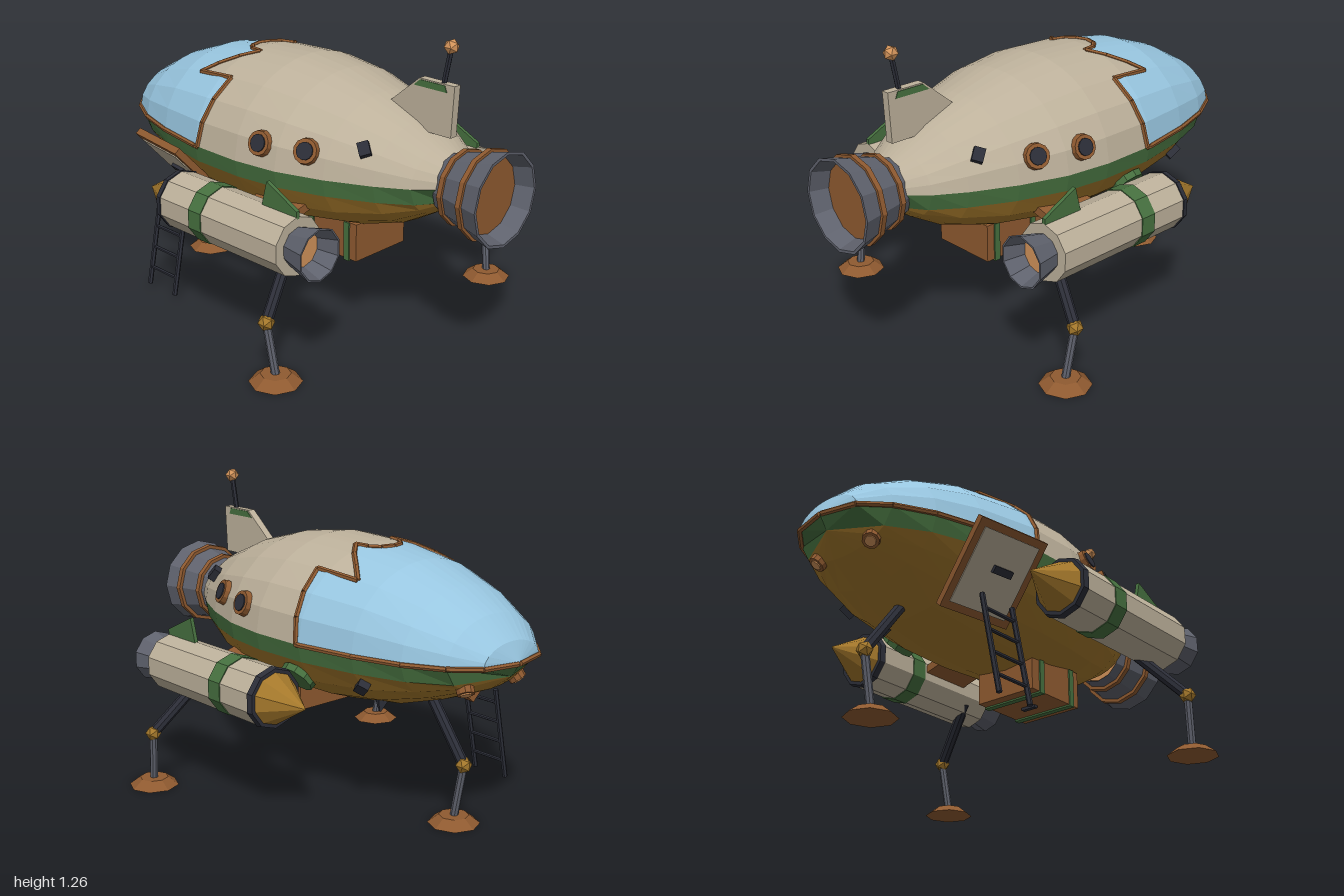
import * as THREE from 'three';

const V = (x, y, z) => new THREE.Vector3(x, y, z);
const D = Math.PI / 180;
const mat = (name, color, side = THREE.FrontSide) => {
  const m = new THREE.MeshStandardMaterial({ color, flatShading: true, side });
  m.name = name;
  return m;
};

// Hull stations: z, half width, top y, bottom y
const WAIST = 0.72;
const STATIONS = [
  [-0.98, 0.005, 0.725, 0.715], [-0.945, 0.155, 0.8, 0.665], [-0.85, 0.25, 0.885, 0.595],
  [-0.7, 0.33, 0.965, 0.53], [-0.5, 0.39, 1.035, 0.465], [-0.25, 0.435, 1.072, 0.43],
  [0, 0.44, 1.08, 0.425], [0.2, 0.415, 1.055, 0.43], [0.4, 0.35, 1.0, 0.455],
  [0.58, 0.265, 0.925, 0.51], [0.7, 0.19, 0.855, 0.58], [0.77, 0.125, 0.815, 0.64],
  [0.8, 0.09, 0.8, 0.66], [0.802, 0.001, 0.721, 0.719],
];
// Rear edge of the canopy: angle above the waist in degrees, z
const EDGE = [[0, -0.235], [17, -0.22], [33, -0.205], [50, -0.19], [50, -0.4], [59, -0.34],
  [68, -0.27], [77, -0.21], [78.5, -0.27], [83, -0.31], [90, -0.325]];

function section(z) {
  let i = 0;
  while (i < STATIONS.length - 2 && z > STATIONS[i + 1][0]) i++;
  const a = STATIONS[i], b = STATIONS[i + 1];
  const f = (z - a[0]) / (b[0] - a[0]);
  return [1, 2, 3].map(k => a[k] + (b[k] - a[k]) * f);
}
function hullPoint(z, t) {
  const [w, top, bottom] = section(z), s = Math.sin(t);
  return V(w * Math.cos(t), WAIST + s * (s > 0 ? top - WAIST : WAIST - bottom), z);
}

// Lengthwise strips of hull, each with its mirror; corners are [angle(z), clamp(z)]
function hullGeometry(strips) {
  const out = [];
  const tri = (a, b, c) => {
    const n = b.clone().sub(a).cross(c.clone().sub(a));
    if (n.length() > 1e-7) for (const p of [a, b, c]) out.push(p.x, p.y, p.z);
  };
  const flip = ([t, c]) => [z => Math.PI - t(z), c];
  const all = strips.concat(strips.map(([a, b]) => [flip(b), flip(a)]));
  for (const [a, b] of all) {
    for (let i = 0; i < STATIONS.length - 1; i++) {
      const p = ([t, c], k) => { const z = c(STATIONS[k][0]); return hullPoint(z, t(z)); };
      const a0 = p(a, i), a1 = p(a, i + 1), b0 = p(b, i), b1 = p(b, i + 1);
      tri(a0, b0, b1);
      tri(a0, b1, a1);
    }
  }
  const g = new THREE.BufferGeometry();
  g.setAttribute('position', new THREE.Float32BufferAttribute(out, 3));
  g.computeVertexNormals();
  return g;
}

export function createModel() {
  const root = new THREE.Group();
  const cream = mat('cream paint', 0xbdb19b), green = mat('green paint', 0x46703f, THREE.DoubleSide);
  const gold = mat('bronze', 0xa4782b), blue = mat('canopy blue', 0x98c6e0);
  const copper = mat('copper', 0x8f5a30), dark = mat('dark metal', 0x2c2e38);
  const grey = mat('grey metal', 0x5f626d, THREE.DoubleSide), glow = mat('engine glow', 0xd2935a);

  const add = (name, geo, material, parent = root) => {
    const m = new THREE.Mesh(geo, material);
    m.name = name;
    parent.add(m);
    return m;
  };
  const box = (name, size, pos, material, parent) => {
    const m = add(name, new THREE.BoxGeometry(...size), material, parent);
    m.position.set(...pos);
    return m;
  };
  const strut = (name, a, b, r, material, n = 6, parent = root) => {
    const d = b.clone().sub(a);
    const m = add(name, new THREE.CylinderGeometry(r, r, d.length(), n), material, parent);
    m.position.copy(a).add(b).multiplyScalar(0.5);
    m.quaternion.setFromUnitVectors(V(0, 1, 0), d.normalize());
  };
  // Cylinder along z from z0 (radius r0) to z1 (radius r1)
  const cylZ = (name, r0, r1, z0, z1, n, x, y, material, parent) => {
    const g = new THREE.CylinderGeometry(r1, r0, z1 - z0, n).rotateX(Math.PI / 2);
    add(name, g, material, parent).position.set(x, y, (z0 + z1) / 2);
  };
  const bell = (name, pts, n, x, y, parent) => {
    const g = new THREE.LatheGeometry(pts.map(p => new THREE.Vector2(...p)), n).rotateX(Math.PI / 2);
    add(name, g, grey, parent).position.set(x, y, 0);
  };
  // Group lying on the hull with its +z along the outward normal
  const onHull = (name, z, t) => {
    const g = new THREE.Group(), h = 0.02;
    const dt = hullPoint(z, t + h).sub(hullPoint(z, t - h));
    const dz = hullPoint(z + h, t).sub(hullPoint(z - h, t));
    g.name = name;
    g.position.copy(hullPoint(z, t));
    g.quaternion.setFromUnitVectors(V(0, 0, 1), dt.cross(dz).normalize());
    root.add(g);
    return g;
  };

  // Hull: canopy, upper shell, waist band and belly
  const same = z => z;
  const upper = clamp => EDGE.slice(1).map((e, i) => [EDGE[i], e]).filter(([a, b]) => a[0] !== b[0])
    .map(pair => pair.map(([t, e]) => [() => t * D, z => clamp(z, e)]));
  const low = u => z => {
    const t = -Math.asin(Math.min(1, 0.07 / (WAIST - section(z)[2])));
    return t + (-Math.PI / 2 - t) * u;
  };
  add('canopy', hullGeometry(upper(Math.min)), blue);
  add('upperHull', hullGeometry(upper(Math.max)), cream);
  add('waistBand', hullGeometry([[[low(0), same], [() => 0, same]]]), green);
  const belly = [0, 1, 2, 3].map(i => [[low((i + 1) / 4), same], [low(i / 4), same]]);
  add('belly', hullGeometry(belly), gold);

  // Canopy trim, along the waist and then over the roof
  const path = STATIONS.filter(s => s[0] < -0.24).map(s => [0, s[0]]).concat(EDGE);
  for (const s of [0, 1]) {
    const pts = path.map(([t, z]) => hullPoint(z, s ? Math.PI - t * D : t * D));
    for (let i = 1; i < pts.length; i++) strut('canopyTrim', pts[i - 1], pts[i], 0.011, copper);
  }

  // Portholes, vents and nose lamps on both sides
  for (const s of [0, 1]) {
    const side = deg => (s ? Math.PI - deg * D : deg * D);
    for (const [z, deg] of [[0.32, 19], [0.12, 16]]) {
      const g = onHull('porthole', z, side(deg));
      cylZ('portholeFrame', 0.055, 0.05, -0.015, 0.018, 12, 0, 0, copper, g);
      cylZ('portholeGlass', 0.037, 0.035, 0, 0.023, 12, 0, 0, dark, g);
    }
    const lamp = onHull('noseLamp', -0.85, side(-55));
    cylZ('lampRim', 0.036, 0.034, -0.015, 0.016, 10, 0, 0, copper, lamp);
    cylZ('lampLens', 0.024, 0.022, 0, 0.021, 10, 0, 0, glow, lamp);
    box('rearVent', [0.045, 0.055, 0.04], [0, 0, 0.008], dark, onHull('vent', 0.52, side(33)));
    box('frontVent', [0.06, 0.045, 0.03], [0, 0, 0.008], dark, onHull('vent', -0.51, side(-29)));
  }
  cylZ('sideCover', 0.075, 0.072, -0.01, 0.018, 10, 0, 0, green, onHull('serviceCover', -0.18, -31 * D));
  cylZ('bellySensor', 0.03, 0.004, -0.01, 0.04, 4, 0, 0, dark, onHull('sensor', -0.45, -63 * D));

  // Main engine
  bell('mainNozzle', [[0.122, 0.75], [0.142, 0.81], [0.19, 1], [0.178, 1], [0.112, 0.775]], 12, 0, 0.708);
  cylZ('mainGlow', 0.113, 0.113, 0.772, 0.78, 12, 0, 0.708, glow);
  for (const [z, r] of [[0.805, 0.142], [0.915, 0.171]])
    cylZ('nozzleRing', r + 0.01, r + 0.012, z - 0.011, z + 0.011, 12, 0, 0.708, copper);

  // Tail fin and antenna; plates are drawn in (z, y)
  const plate = (name, pts, thick, x, material) => {
    const shape = new THREE.Shape(pts.map(([z, y]) => new THREE.Vector2(-z, y)));
    const g = new THREE.ExtrudeGeometry(shape, { depth: thick, bevelEnabled: false });
    g.translate(0, 0, -thick / 2).rotateY(Math.PI / 2);
    add(name, g, material).position.x = x;
  };
  plate('tailFin', [[0.755, 1.095], [0.585, 1.095], [0.44, 0.975], [0.5, 0.89], [0.745, 0.89]], 0.034, 0, cream);
  plate('finStripe', [[0.71, 1.09], [0.59, 1.09], [0.56, 1.064], [0.72, 1.064]], 0.04, 0, green);
  strut('antennaMast', V(0, 1.06, 0.685), V(0, 1.235, 0.72), 0.011, dark);
  add('antennaTip', new THREE.IcosahedronGeometry(0.031, 0), glow).position.set(0, 1.238, 0.72);

  // Side pods with pylons
  for (const s of [1, -1]) {
    const x = 0.54 * s, y = 0.525, pod = new THREE.Group();
    pod.name = 'sidePod';
    root.add(pod);
    cylZ('podBody', 0.12, 0.12, -0.215, 0.46, 10, x, y, cream, pod);
    cylZ('podBand', 0.124, 0.124, -0.036, 0.036, 10, x, y, green, pod);
    cylZ('podCollar', 0.12, 0.125, -0.238, -0.212, 10, x, y, dark, pod);
    cylZ('podNose', 0.004, 0.106, -0.41, -0.236, 10, x, y, gold, pod);
    bell('podNozzle', [[0.076, 0.45], [0.107, 0.575], [0.1, 0.575], [0.07, 0.48]], 10, x, y, pod);
    cylZ('podGlow', 0.078, 0.078, 0.48, 0.49, 10, x, y, glow, pod);
    plate('podFin', [[0.46, 0.635], [0.46, 0.665], [0.3, 0.743], [0.27, 0.635]], 0.016, x, green);
    box('pylon', [0.2, 0.035, 0.24], [0.37 * s, 0.557, 0.17], copper).rotation.z = -0.28 * s;
  }

  // Landing legs: hip, knee, ankle
  const legs = [1, -1].map(s => [V(0.46 * s, 0.47, 0.34), V(0.67 * s, 0.243, 0.42), V(0.655 * s, 0.025, 0.452)]);
  legs.push([V(0, 0.53, -0.52), V(0, 0.255, -0.725), V(0, 0.025, -0.68)]);
  for (const [hip, knee, ankle] of legs) {
    strut('upperLeg', hip, knee, 0.023, dark, 8);
    strut('lowerLeg', knee, ankle, 0.017, grey, 8);
    add('knee', new THREE.IcosahedronGeometry(0.034, 0), gold).position.copy(knee);
    add('foot', new THREE.CylinderGeometry(0.06, 0.105, 0.034, 8), copper).position.set(ankle.x, 0.017, ankle.z);
  }

  // Cargo crate with straps
  box('crate', [0.292, 0.16, 0.31], [0, 0.39, 0.235], copper);
  for (const z of [0.14, 0.34]) box('crateStrap', [0.304, 0.166, 0.028], [0, 0.386, z], green);
  box('crateHandle', [0.07, 0.014, 0.02], [0, 0.305, 0.24], dark);

  // Boarding hatch
  const hatch = new THREE.Group();
  hatch.name = 'hatch';
  hatch.position.set(-0.362, 0.57, -0.42);
  hatch.rotation.set(0, -0.15, 0.73, 'YXZ');
  root.add(hatch);
  box('hatchFrame', [0.03, 0.37, 0.33], [0, 0, 0], copper, hatch);
  box('hatchPanel', [0.008, 0.31, 0.27], [-0.016, 0, 0], cream, hatch);
  box('hatchHandle', [0.02, 0.03, 0.09], [-0.024, 0.02, 0.02], dark, hatch);

  // Ladder
  const rail = (y, z) => V(-0.487 + (y - 0.02) * 0.2, y, z);
  for (const z of [-0.36, -0.53]) strut('ladderRail', rail(0.02, z), rail(0.43, z), 0.011, dark);
  for (const y of [0.096, 0.187, 0.28, 0.37]) strut('ladderRung', rail(y, -0.36), rail(y, -0.53), 0.008, dark);

  return root;
}
